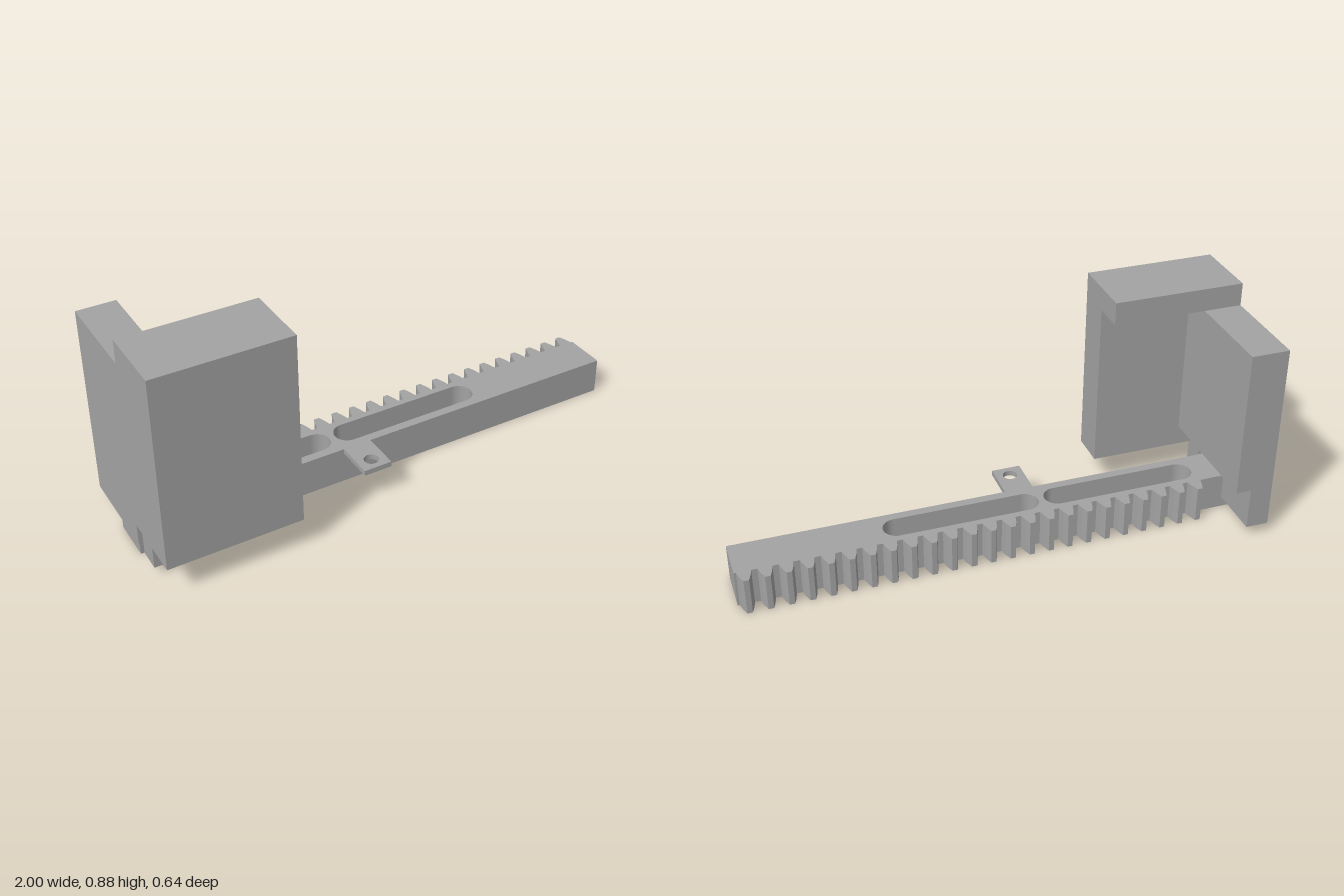
import * as THREE from 'three';

const grey = new THREE.MeshStandardMaterial({ color: 0xa3a3a3 });
grey.name = 'plain grey';

function addMesh(group, name, geometry) {
  const mesh = new THREE.Mesh(geometry, grey);
  mesh.name = name;
  group.add(mesh);
}

// Outline of [z, y] points, extruded along x from x0 to x1
function sideProfile(points, x0, x1) {
  const shape = new THREE.Shape(points.map(([z, y]) => new THREE.Vector2(-z, y)));
  return new THREE.ExtrudeGeometry(shape, { depth: x1 - x0, bevelEnabled: false })
    .rotateY(Math.PI / 2).translate(x0, 0, 0);
}

// Plan shape drawn in (x, -z), extruded upwards from y0 to y1
function planProfile(shape, y0, y1) {
  return new THREE.ExtrudeGeometry(shape, { depth: y1 - y0, bevelEnabled: false, curveSegments: 16 })
    .rotateX(-Math.PI / 2).translate(0, y0, 0);
}

// Long round-ended slot between x0 and x1
function slotPath(x0, x1, z0, z1) {
  const r = (z1 - z0) / 2, c = -(z0 + z1) / 2;
  const path = new THREE.Path();
  path.absarc(x1 - r, c, r, -Math.PI / 2, Math.PI / 2, false);
  path.absarc(x0 + r, c, r, Math.PI / 2, Math.PI * 1.5, false);
  path.closePath();
  return path;
}

export function createModel() {
  const model = new THREE.Group();
  model.name = 'rackSlider';

  // Toothed bar with two through slots
  const bar = new THREE.Shape();
  const front = -0.057, root = 0.11, mid = 0.138, tip = 0.165;
  bar.moveTo(-0.997, front);
  bar.lineTo(0.997, front);
  bar.lineTo(0.997, root);
  const teeth = 24, pitch = 0.076, firstTooth = -0.786;
  for (let i = teeth - 1; i >= 0; i--) {
    const x = firstTooth + i * pitch;
    const flank = [[0.027, root], [0.020, mid], [0.010, tip]];
    flank.forEach(([w, v]) => bar.lineTo(x + w, v));
    flank.reverse().forEach(([w, v]) => bar.lineTo(x - w, v));
  }
  bar.lineTo(-0.997, root);
  bar.closePath();
  bar.holes.push(slotPath(-0.807, -0.197, -0.083, 0.022), slotPath(-0.172, 0.435, -0.083, 0.022));
  addMesh(model, 'toothedRack', planProfile(bar, 0, 0.145));

  // Thin drilled tab on the front of the bar
  const tab = new THREE.Shape([
    [-0.182, -0.21], [-0.07, -0.21], [-0.07, -0.05], [-0.182, -0.05],
  ].map(([x, v]) => new THREE.Vector2(x, v)));
  const hole = new THREE.Path();
  hole.absarc(-0.126, -0.16, 0.028, 0, Math.PI * 2, false);
  tab.holes.push(hole);
  addMesh(model, 'drilledTab', planProfile(tab, 0.124, 0.145));

  // Front plate with an overhanging lip on top
  addMesh(model, 'frontPlateWithLip', sideProfile([
    [0.322, 0.13], [0.322, 0.882], [0.052, 0.882], [0.052, 0.792], [0.18, 0.792], [0.18, 0.13],
  ], -1, -0.49));

  // Side wall, thinner along its foot
  addMesh(model, 'sideWall', sideProfile([
    [0.18, 0.212], [0.18, 0.792], [-0.322, 0.792], [-0.322, 0.212],
  ], -1, -0.852));

  // Foot of the wall with a narrow gap in front of the bar
  addMesh(model, 'sideWallFoot', sideProfile([
    [0.18, 0.212], [-0.322, 0.212], [-0.322, 0.043], [0.057, 0.043], [0.057, 0.13],
    [0.108, 0.13], [0.108, 0.043], [0.195, 0.043], [0.195, 0.13], [0.18, 0.13],
  ], -1, -0.912));

  return model;
}
